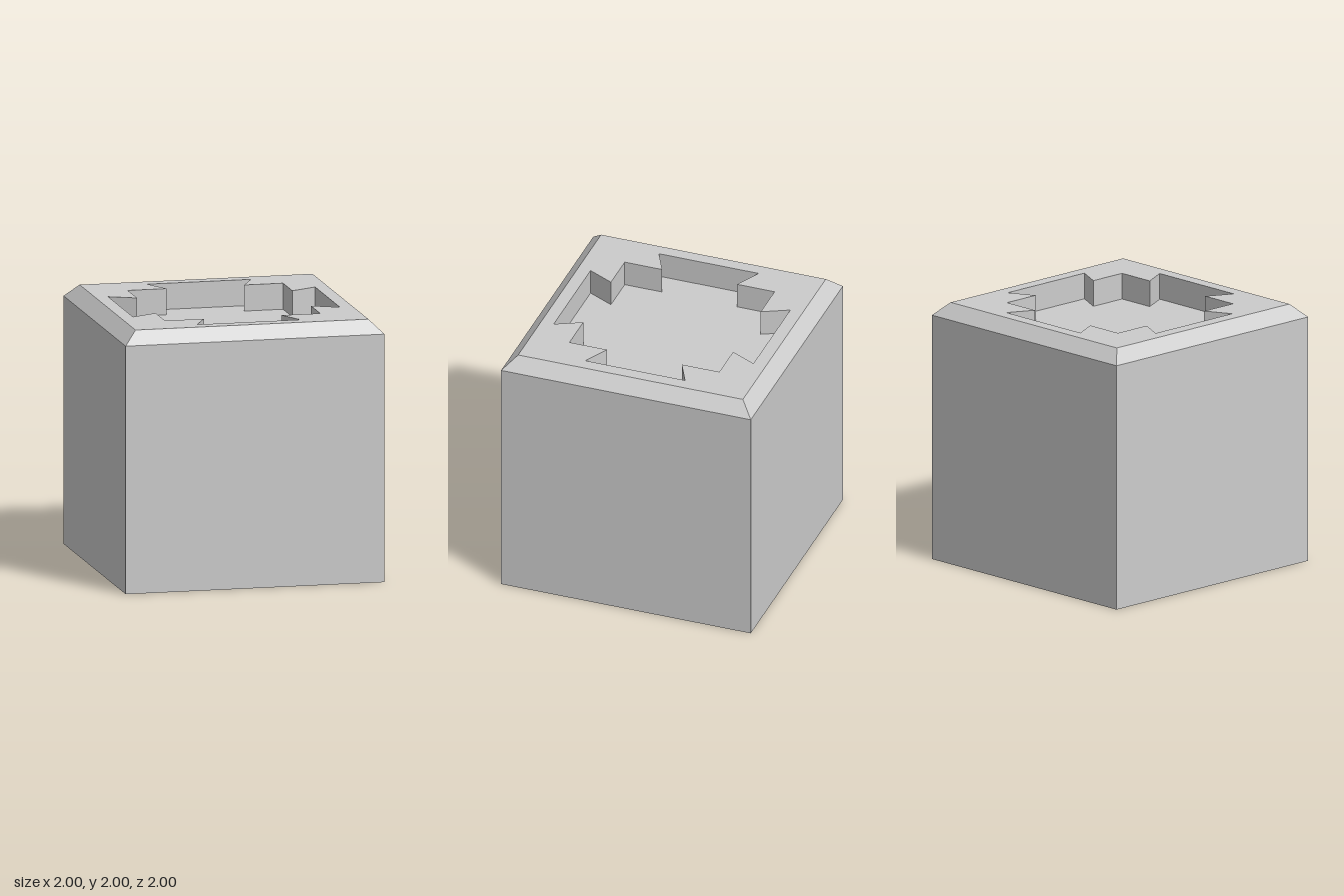
import * as THREE from 'three';

const HEIGHT = 2, BEVEL = 0.1, DEPTH = 0.2;

// One quarter of the dovetailed socket, turned four times (counter-clockwise)
function socketOutline() {
  const quarter = [[0.6, -0.3], [0.8, -0.4], [0.8, 0.4], [0.6, 0.3], [0.6, 0.6]];
  const points = [];
  for (let turn = 0; turn < 4; turn++) {
    for (const [x, y] of quarter) {
      points.push(new THREE.Vector2(x, y).rotateAround(new THREE.Vector2(), turn * Math.PI / 2));
    }
  }
  return points;
}

// Vertical walls of the socket, facing inwards
function wallGeometry(outline, y0, y1) {
  const pos = [];
  outline.forEach((p, i) => {
    const q = outline[(i + 1) % outline.length];
    pos.push(p.x, p.y, y0, p.x, p.y, y1, q.x, q.y, y1);
    pos.push(p.x, p.y, y0, q.x, q.y, y1, q.x, q.y, y0);
  });
  const geometry = new THREE.BufferGeometry();
  geometry.setAttribute('position', new THREE.Float32BufferAttribute(pos, 3));
  geometry.computeVertexNormals();
  return geometry;
}

export function createModel() {
  const group = new THREE.Group();
  group.name = 'socketBlock';
  const material = new THREE.MeshStandardMaterial({ color: 0xcccccc, flatShading: true });
  const add = (name, geometry) => {
    const mesh = new THREE.Mesh(geometry, material);
    mesh.name = name;
    group.add(mesh);
  };

  // Base, sides and chamfer: a four-sided lathe
  const profile = [[0, 0], [1, 0], [1, HEIGHT - BEVEL], [1 - BEVEL, HEIGHT]]
    .map(([r, y]) => new THREE.Vector2(r * Math.SQRT2, y));
  const body = new THREE.LatheGeometry(profile, 4, Math.PI / 4).toNonIndexed();
  body.computeVertexNormals();
  add('body', body);

  // Flat top with the socket cut out
  const outline = socketOutline();
  const t = 1 - BEVEL;
  const top = new THREE.Shape([[-t, -t], [t, -t], [t, t], [-t, t]].map(([x, y]) => new THREE.Vector2(x, y)));
  top.holes.push(new THREE.Path(outline));
  add('topRim', new THREE.ShapeGeometry(top).rotateX(-Math.PI / 2).translate(0, HEIGHT, 0));

  // Recessed socket
  add('socketWalls', wallGeometry(outline, HEIGHT - DEPTH, HEIGHT).rotateX(-Math.PI / 2));
  add('socketFloor', new THREE.ShapeGeometry(new THREE.Shape(outline))
    .rotateX(-Math.PI / 2).translate(0, HEIGHT - DEPTH, 0));

  return group;
}
